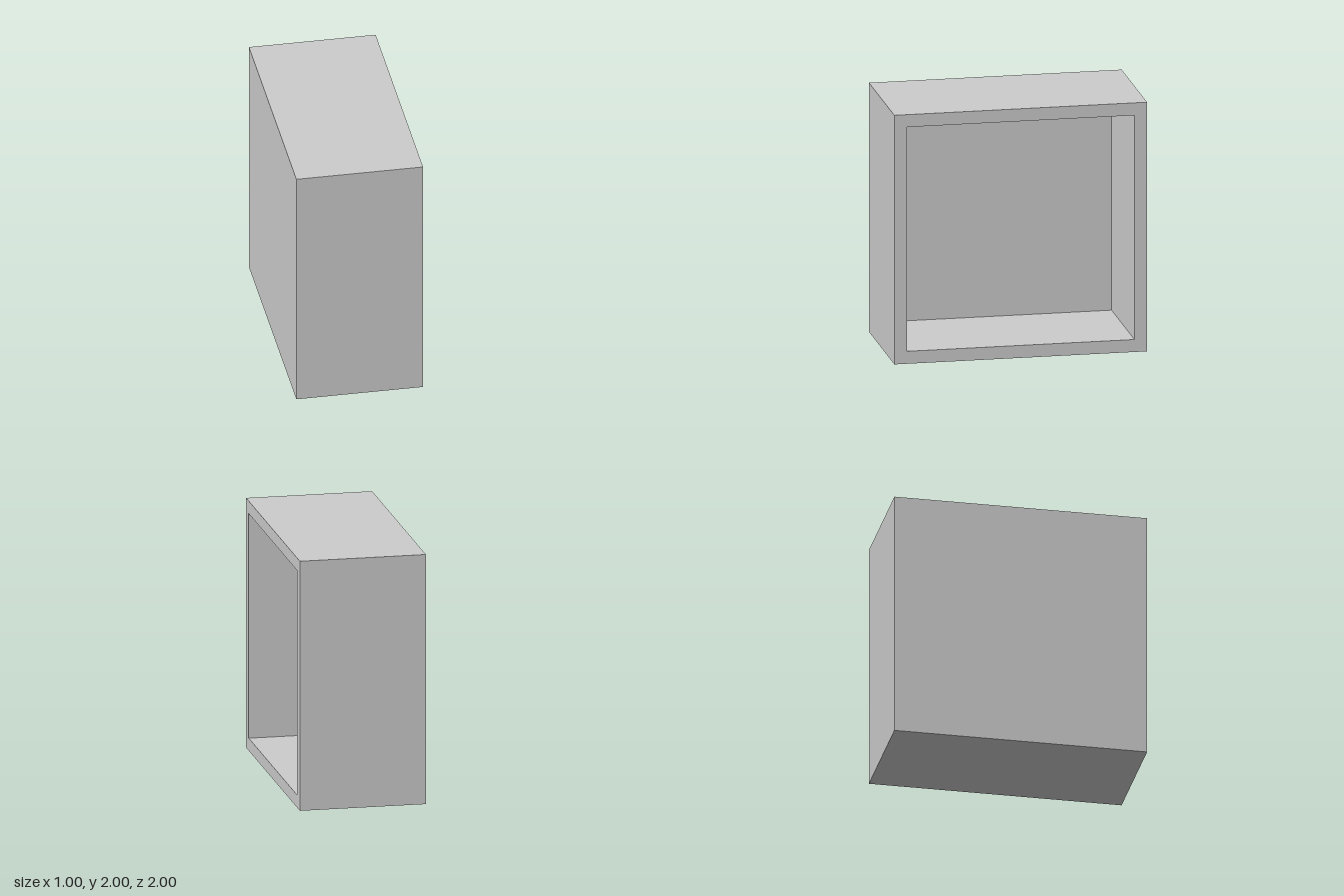
import * as THREE from 'three';

const WIDTH = 1, SIZE = 2, WALL = 0.1;

// Square box open at one end: a wall profile turned in four steps around its axis
function openBoxGeometry() {
  const outer = (SIZE / 2) * Math.SQRT2;
  const inner = (SIZE / 2 - WALL) * Math.SQRT2;
  const profile = [
    [0, 0], [outer, 0], [outer, WIDTH],         // closed back and outer walls
    [inner, WIDTH], [inner, WALL], [0, WALL],   // rim, inner walls and cavity floor
  ].map(([r, h]) => new THREE.Vector2(r, h));

  const geometry = new THREE.LatheGeometry(profile, 4, Math.PI / 4).toNonIndexed();
  geometry.rotateZ(-Math.PI / 2);               // opening faces +x
  geometry.translate(-WIDTH / 2, SIZE / 2, 0);
  geometry.computeVertexNormals();
  return geometry;
}

export function createModel() {
  const group = new THREE.Group();
  group.name = 'openBox';

  const material = new THREE.MeshStandardMaterial({ color: 0xcccccc, flatShading: true });
  const shell = new THREE.Mesh(openBoxGeometry(), material);
  shell.name = 'shell';
  group.add(shell);

  return group;
}
